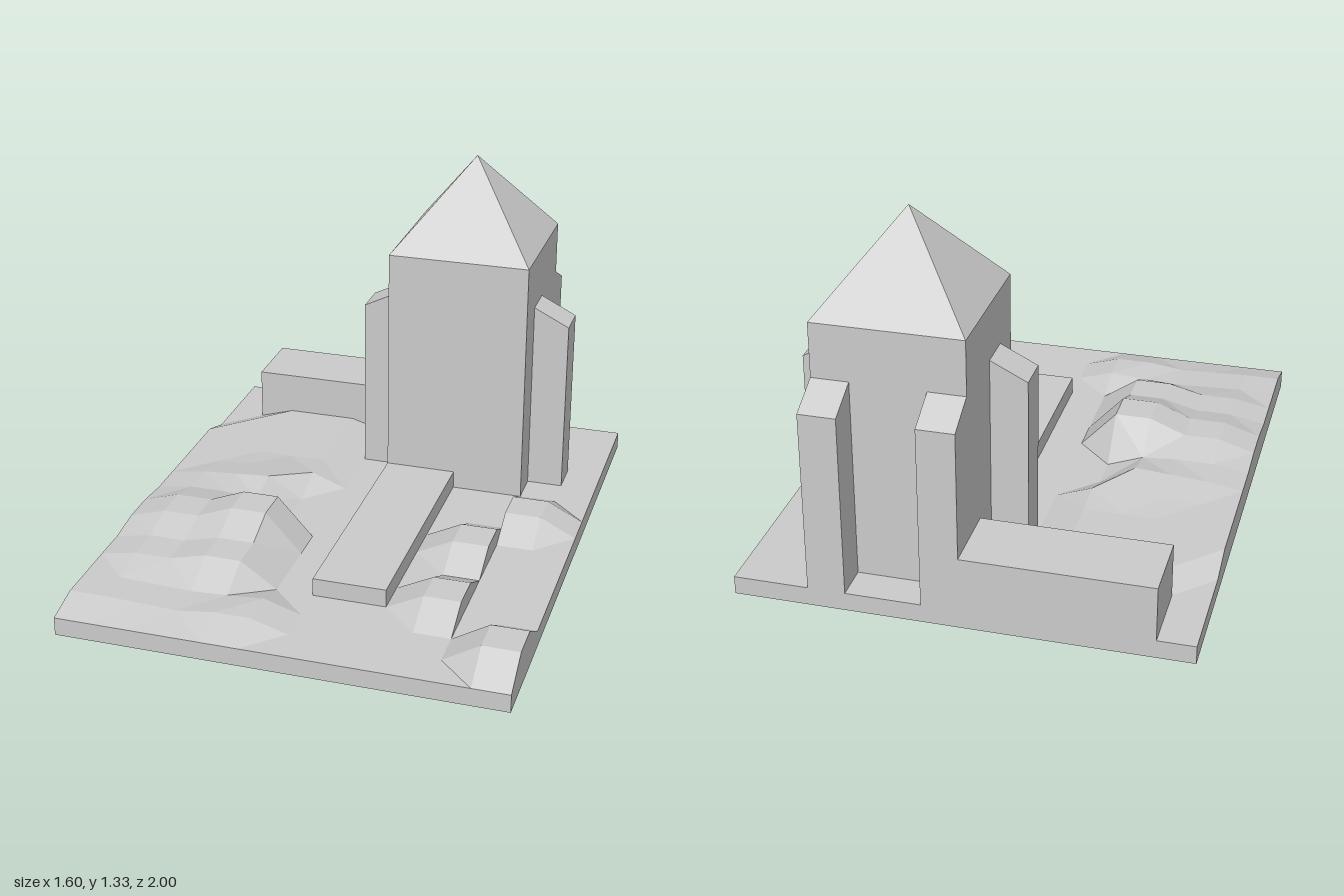
import * as THREE from 'three';

const S = 2 / 15;      // module of the layout grid
const BASE = S / 2;    // top of the ground slab
const material = new THREE.MeshStandardMaterial({ color: 0xcccccc, flatShading: true, side: THREE.DoubleSide });

function add(group, name, geometry) {
  const mesh = new THREE.Mesh(geometry, material);
  mesh.name = name;
  group.add(mesh);
  return mesh;
}

// Box given by its extents
function block(group, name, x0, x1, y0, y1, z0, z1) {
  add(group, name, new THREE.BoxGeometry(x1 - x0, y1 - y0, z1 - z0))
    .position.set((x0 + x1) / 2, (y0 + y1) / 2, (z0 + z1) / 2);
}

// Faceted ground relief: rows run to +z, columns to +x, heights in hundredths above the slab.
// The border is repeated at slab level so raised edges get vertical sides.
function terrain(group, name, x0, z0, rows) {
  const nr = rows.length, nc = rows[0].length;
  const clamp = (v, n) => Math.min(Math.max(v, 0), n - 1);
  const point = (r, c) => {
    const i = clamp(r, nr), j = clamp(c, nc);
    const h = i === r && j === c ? rows[i][j] / 100 : 0;
    return new THREE.Vector3(x0 + j * S, BASE + h, z0 + i * S);
  };
  const positions = [];
  const face = (a, b, c) => {
    const t = new THREE.Triangle(a, b, c);
    const flat = Math.max(a.y, b.y, c.y) < BASE + 1e-6;
    if (t.getArea() > 1e-7 && !flat) for (const p of [a, b, c]) positions.push(p.x, p.y, p.z);
  };
  for (let r = -1; r < nr; r++) {
    for (let c = -1; c < nc; c++) {
      const a = point(r, c), b = point(r + 1, c), d = point(r + 1, c + 1), e = point(r, c + 1);
      // fold each cell along its more level diagonal
      if (Math.abs(a.y - d.y) < Math.abs(b.y - e.y)) { face(a, b, d); face(a, d, e); }
      else { face(a, b, e); face(b, d, e); }
    }
  }
  const geometry = new THREE.BufferGeometry();
  geometry.setAttribute('position', new THREE.Float32BufferAttribute(positions, 3));
  geometry.computeVertexNormals();
  add(group, name, geometry);
}

export function createModel() {
  const model = new THREE.Group();
  model.name = 'towerOnHillside';

  block(model, 'groundSlab', -0.8, 0.8, 0, BASE, -1, 1);

  // Tower with pyramid roof
  block(model, 'towerBody', 0, 4 * S, BASE, 1, -6.5 * S, -2.5 * S);
  const roof = add(model, 'towerRoof', new THREE.ConeGeometry(2 * S * Math.SQRT2, 2.5 * S, 4));
  roof.rotation.y = Math.PI / 4;
  roof.position.set(2 * S, 1 + 1.25 * S, -4.5 * S);

  // Sloped-top buttresses on the sides and back
  const profile = new THREE.Shape([[0, BASE], [S, BASE], [S, 5.5 * S], [0, 6 * S]]
    .map(([x, y]) => new THREE.Vector2(x, y)));
  const buttress = new THREE.ExtrudeGeometry(profile, { depth: S, bevelEnabled: false });
  for (const [name, x, z, turn] of [
    ['leftButtress', 4 * S, -4.5 * S, 0],
    ['rightButtress', 0, -3.5 * S, Math.PI],
    ['backRightButtress', 0, -6.5 * S, Math.PI / 2],
    ['backLeftButtress', 3 * S, -6.5 * S, Math.PI / 2],
  ]) {
    const mesh = add(model, name, buttress);
    mesh.position.set(x, 0, z);
    mesh.rotation.y = turn;
  }

  // Low wall beside the tower and raised path in front of it
  block(model, 'backWall', -5 * S, 0, BASE, 2 * S, -1, -5.5 * S);
  block(model, 'path', 0, 2 * S, BASE, S, -2.5 * S, 4.5 * S);

  // Large hillside on the right of the path
  terrain(model, 'hillside', -0.8, -5.5 * S, [
    [0, 0, 4, 4, 4, 0, 0],
    [0, 4, 4, 4, 4, 0, 0],
    [4, 4, 4, 4, 4, 0, 0],
    [4, 4, 4, 4, 4, 0, 0],
    [4, 4, 5, 6, 5, 0, 0],
    [4, 6, 7, 8, 0, 0, 0],
    [4, 6, 6, 5, 0, 0, 0],
    [5.3, 9.3, 9.3, 14.6, 14.6, 0, 0],
    [5.3, 9.3, 9.3, 14.6, 14.6, 0, 0],
    [3.5, 6, 6, 9.3, 9.3, 0, 0],
    [3.5, 6, 6, 9.3, 9.3, 0, 0],
    [3.3, 3.3, 2.8, 2.3, 3, 4, 0],
    [3.3, 3.3, 2.8, 2.3, 4, 4, 0],
    [0, 0, 0, 0, 0, 0, 0],
  ].map((row, i) => (i === 0 ? row.map((h) => h) : row)));

  // Small mounds on the left of the path
  const L = [0, 0, 0], H = [0, 6.7, 6.7];
  terrain(model, 'pathMounds', 2 * S, -S / 2, [L, H, H, L, H, H, L]);
  terrain(model, 'towerMound', 4 * S, -2.5 * S, [L, [6.7, 6.7, 0], [6.7, 6.7, 0], L]);
  terrain(model, 'cornerMound', 4 * S, 4.5 * S, [L, [0, 8, 8], [0, 8, 8], L]);

  return model;
}
